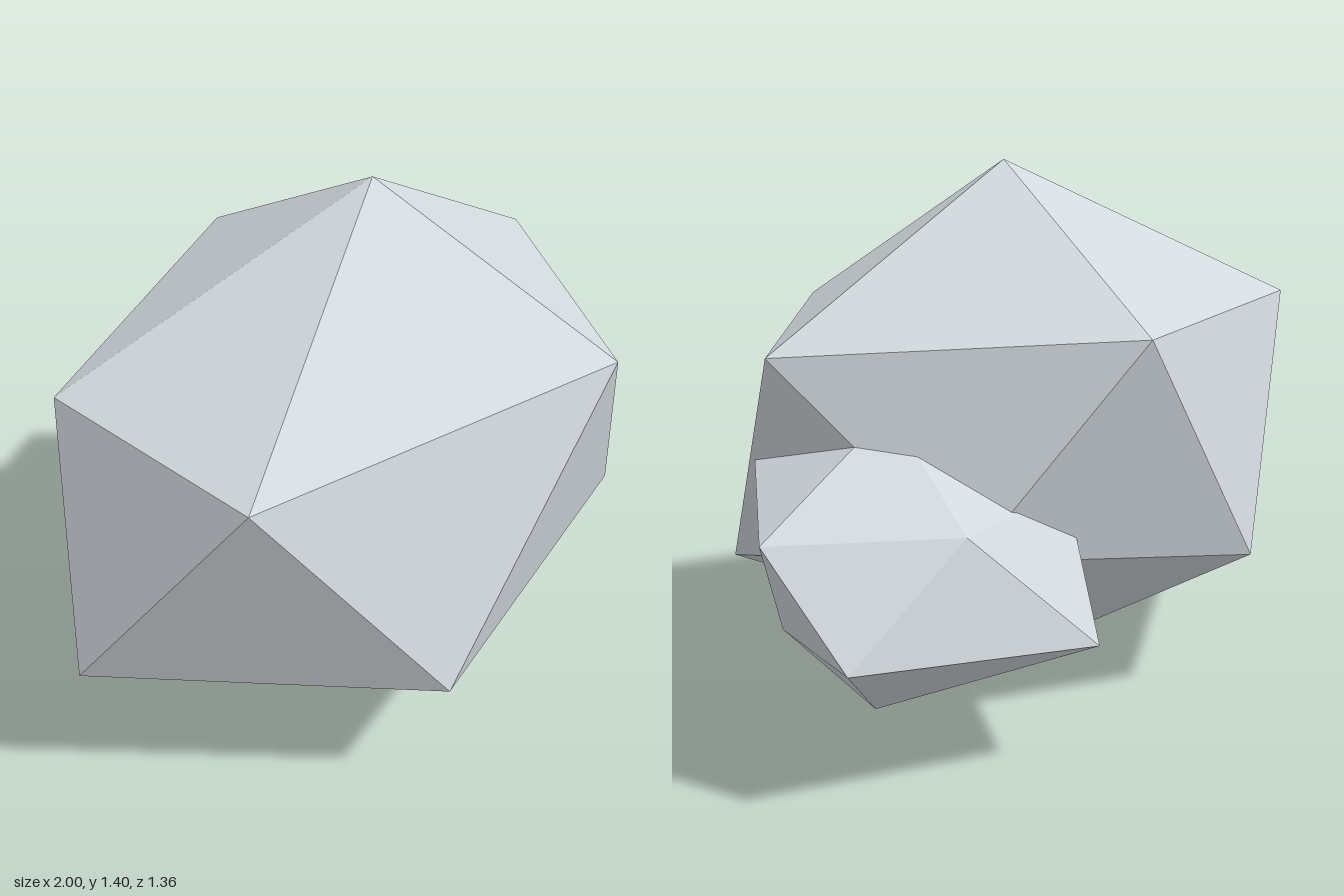
import * as THREE from 'three';

// A rock is an irregular 20-sided solid: apex, two staggered rings of five, base.
// Both rings run anticlockwise seen from outside the apex.
function rock(name, material, apex, upper, lower, base) {
  const positions = [];
  const face = (...corners) => corners.forEach((c) => positions.push(...c));
  for (let i = 0; i < 5; i++) {
    const j = (i + 1) % 5;
    face(apex, upper[i], upper[j]);
    face(upper[i], lower[i], upper[j]);
    face(upper[j], lower[i], lower[j]);
    face(base, lower[j], lower[i]);
  }
  const geometry = new THREE.BufferGeometry();
  geometry.setAttribute('position', new THREE.Float32BufferAttribute(positions, 3));
  geometry.computeVertexNormals();
  const mesh = new THREE.Mesh(geometry, material);
  mesh.name = name;
  return mesh;
}

export function createModel() {
  const group = new THREE.Group();
  group.name = 'rocks';
  const stone = new THREE.MeshStandardMaterial({ color: 0xd2d9de });
  stone.name = 'pale stone grey';
  stone.flatShading = true;

  // Main boulder, apex upwards
  group.add(rock('largeRock', stone,
    [-0.03, 1.4, 0.07],
    [[-0.875, 0.99, 0.41], [0.18, 1.0, 0.68], [0.81, 0.97, -0.04], [0.17, 1.02, -0.67], [-0.82, 1.01, -0.26]],
    [[-0.46, 0.36, 0.655], [0.62, 0.34, 0.445], [0.51, 0.5, -0.42], [-0.28, 0.4, -0.615], [-1.0, 0.385, -0.06]],
    [-0.15, 0, 0.05]));

  // Smaller rock sunk into its back left side, apex outwards
  group.add(rock('smallRock', stone,
    [0.93, 0.355, -0.51],
    [[1.0, 0.61, -0.29], [0.78, 0.295, -0.03], [0.55, 0.04, -0.09], [0.34, 0.325, -0.68], [0.62, 0.61, -0.54]],
    [[0.64, 0.69, 0.295], [0.36, 0.3, 0.27], [0.13, 0.28, -0.27], [0.2, 0.62, -0.42], [0.55, 0.83, -0.17]],
    [0.15, 0.6, 0.05]));

  return group;
}
